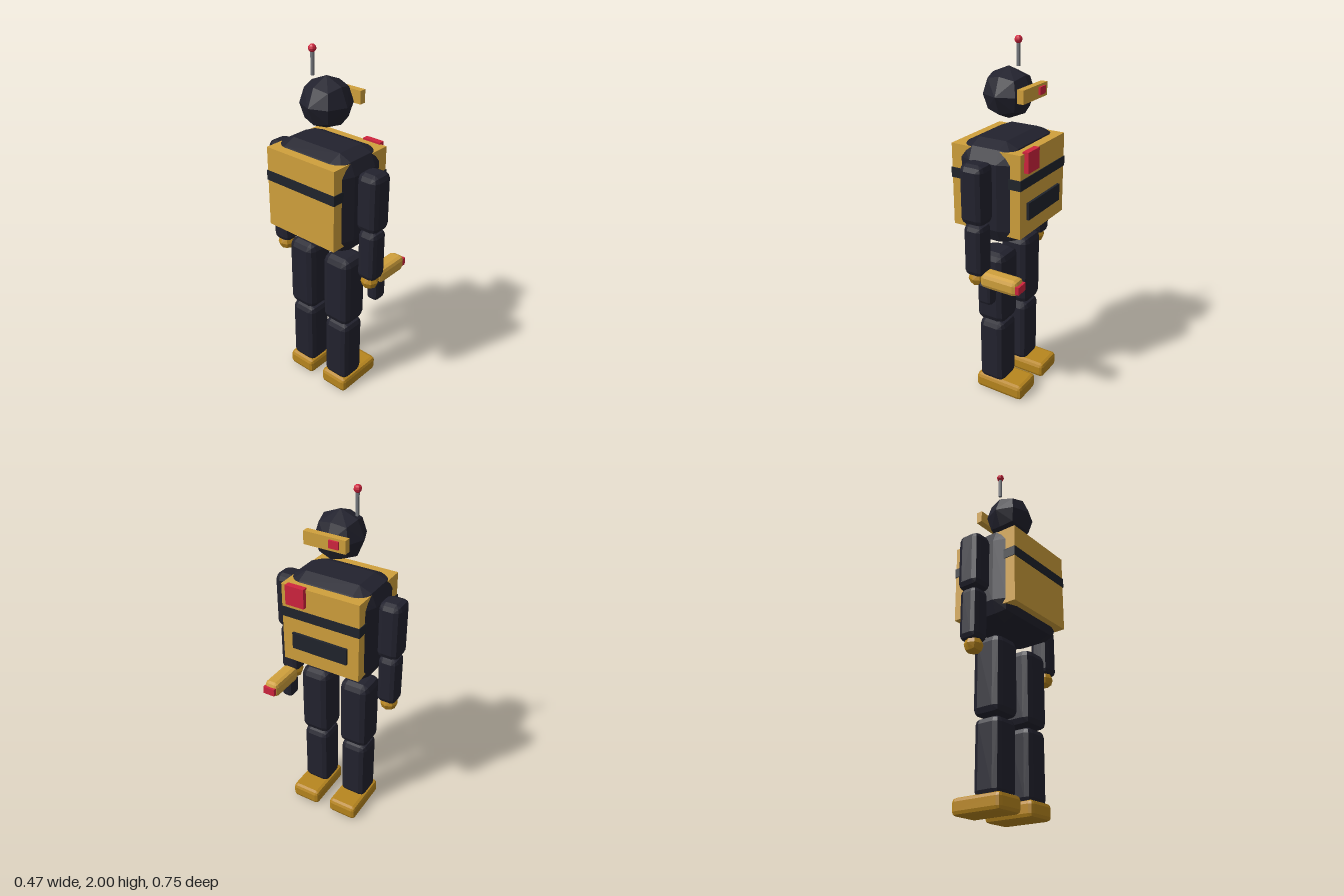
import * as THREE from 'three';
import { ConvexGeometry } from 'three/addons/geometries/ConvexGeometry.js';

const mat = (name, color, flatShading = true) => {
  const m = new THREE.MeshStandardMaterial({ color, flatShading });
  m.name = name;
  return m;
};

// The 26 directions of a cube grid, pushed onto a unit sphere
const directions = [];
for (const x of [-1, 0, 1]) for (const y of [-1, 0, 1]) for (const z of [-1, 0, 1]) {
  if (x || y || z) directions.push(new THREE.Vector3(x, y, z).normalize());
}

// Faceted ball
const ballGeometry = (r) => new ConvexGeometry(directions.map((d) => d.clone().multiplyScalar(r)));

// Box with two-step bevels: the hull of a faceted ball placed at each corner
function bevelGeometry(w, h, d, r) {
  const points = [];
  for (const sx of [-1, 1]) for (const sy of [-1, 1]) for (const sz of [-1, 1]) {
    const corner = new THREE.Vector3(sx * (w / 2 - r), sy * (h / 2 - r), sz * (d / 2 - r));
    for (const v of directions) {
      if (v.x * sx >= 0 && v.y * sy >= 0 && v.z * sz >= 0) {
        points.push(v.clone().multiplyScalar(r).add(corner));
      }
    }
  }
  return new ConvexGeometry(points);
}

export function createModel() {
  const model = new THREE.Group();
  model.name = 'robotTrooper';

  const dark = mat('darkBody', 0x22222e);
  const trim = mat('blackTrim', 0x20242c);
  const armour = mat('yellowArmour', 0xd0a03c);
  const gold = mat('deepGold', 0xb8861e);
  const red = mat('redLight', 0xd0243e);
  const grey = mat('greyMetal', 0x777a80);

  const add = (name, geometry, material, x, y, z) => {
    const mesh = new THREE.Mesh(geometry, material);
    mesh.name = name;
    mesh.position.set(x, y, z);
    model.add(mesh);
    return mesh;
  };
  // Ranges are [min, max] along x, y and z; a radius gives bevelled edges
  const box = (name, material, [x0, x1], [y0, y1], [z0, z1], r = 0) => {
    const size = [x1 - x0, y1 - y0, z1 - z0];
    const geometry = r ? bevelGeometry(...size, r) : new THREE.BoxGeometry(...size);
    return add(name, geometry, material, (x0 + x1) / 2, (y0 + y1) / 2, (z0 + z1) / 2);
  };

  // Torso poking out of its armour shell
  box('torso', dark, [-0.208, 0.148], [0.97, 1.525], [-0.254, 0.254], 0.098);
  box('chestArmour', armour, [-0.235, 0.174], [1.04, 1.49], [-0.227, 0.227]);
  box('chestBelt', trim, [-0.239, 0.178], [1.305, 1.36], [-0.231, 0.231]);
  box('chestPanel', trim, [0.165, 0.188], [1.128, 1.222], [-0.163, 0.163]);
  box('chestBadge', red, [0.165, 0.198], [1.39, 1.5], [0.08, 0.19]);

  // Head, visor and antenna
  add('head', ballGeometry(0.135), dark, -0.031, 1.729, 0);
  box('visor', armour, [0.088, 0.125], [1.71, 1.78], [-0.118, 0.118]);
  box('visorLight', red, [0.12, 0.136], [1.728, 1.768], [-0.083, -0.028]);
  add('antennaRod', new THREE.CylinderGeometry(0.01, 0.01, 0.13, 8), grey, -0.031, 1.91, -0.092);
  add('antennaTip', new THREE.SphereGeometry(0.021, 8, 6), red, -0.031, 1.979, -0.092);

  // Limbs, mirrored across z (the figure looks along +x)
  for (const [side, s] of [['left', -1], ['right', 1]]) {
    const across = (a, b) => (s > 0 ? [a, b] : [-b, -a]);
    box(side + 'UpperArm', dark, [-0.098, 0.037], [1.122, 1.445], across(0.248, 0.374), 0.034);
    box(side + 'Forearm', dark, [-0.087, 0.025], [0.83, 1.12], across(0.254, 0.366), 0.03);
    add(side + 'Hand', ballGeometry(0.05), gold, -0.035, 0.809, s * 0.309);
    box(side + 'Thigh', dark, [-0.119, 0.056], [0.473, 0.9], across(0.038, 0.215), 0.04);
    box(side + 'Shin', dark, [-0.112, 0.047], [0.07, 0.467], across(0.047, 0.207), 0.035);
    box(side + 'Boot', gold, [-0.13, 0.172], [0, 0.09], across(0.039, 0.215), 0.022);
  }

  // Hand weapon held in the +z hand
  box('weaponBarrel', armour, [0, 0.222], [0.77, 0.857], [0.262, 0.35], 0.024);
  box('weaponMuzzle', red, [0.21, 0.236], [0.79, 0.834], [0.272, 0.343]);
  box('weaponGrip', dark, [-0.02, 0.065], [0.668, 0.8], [0.274, 0.344], 0.02);

  return model;
}
